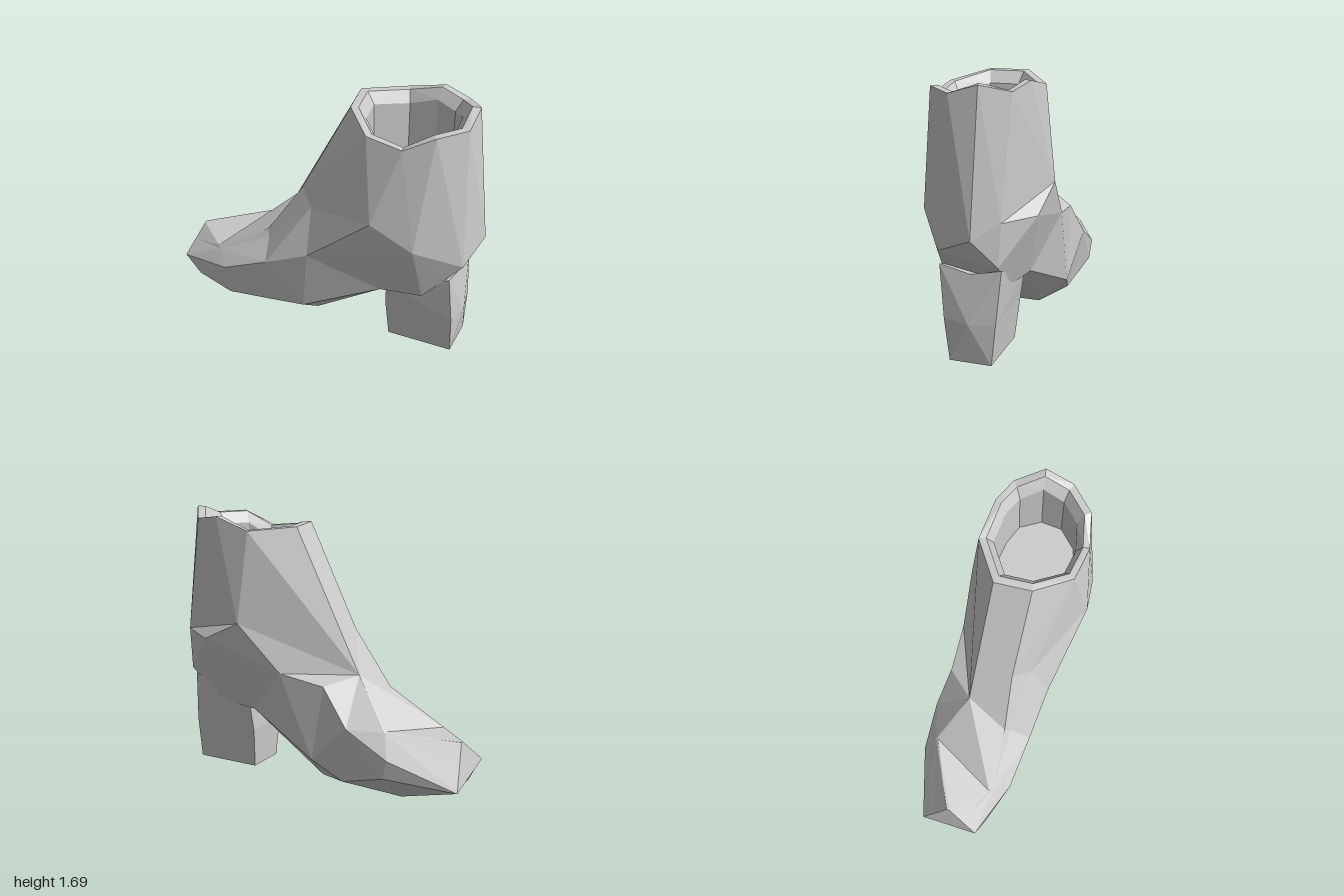
import * as THREE from 'three';

const material = new THREE.MeshStandardMaterial({ color: 0xcccccc, flatShading: true });

// Skin a list of closed rings and cap both ends. Points shared by two rings
// collapse quads to triangles; every other quad is split so that it bulges out.
function loft(rings, name) {
  const n = rings[0].length, positions = [];
  const plane = new THREE.Plane();
  const addFace = (p, q, r) => {
    if (new THREE.Triangle(p, q, r).getArea() > 1e-6) {
      for (const v of [p, q, r]) positions.push(v.x, v.y, v.z);
    }
  };
  const pts = rings.map((ring) => ring.map((p) => new THREE.Vector3(...p)));
  for (let i = 0; i < pts.length - 1; i++) {
    for (let j = 0; j < n; j++) {
      const k = (j + 1) % n;
      const [a, b, c, d] = [pts[i][j], pts[i][k], pts[i + 1][k], pts[i + 1][j]];
      if (plane.setFromCoplanarPoints(a, b, c).distanceToPoint(d) <= 0) {
        addFace(a, b, c);
        addFace(a, c, d);
      } else {
        addFace(a, b, d);
        addFace(b, c, d);
      }
    }
  }
  const first = pts[0], last = pts[pts.length - 1];
  for (let j = 1; j < n - 1; j++) {
    addFace(first[0], first[j + 1], first[j]);
    addFace(last[0], last[j], last[j + 1]);
  }
  const geometry = new THREE.BufferGeometry();
  geometry.setAttribute('position', new THREE.Float32BufferAttribute(positions, 3));
  geometry.computeVertexNormals();
  const mesh = new THREE.Mesh(geometry, material);
  mesh.name = name;
  return mesh;
}

// Ring of five points [x, y, half width] per side, from instep to sole or heel.
// Points given in "changes" replace the mirrored ones on the right side.
function bootRing(offset, left, changes = {}) {
  const right = left.map((p, i) => changes[i] ?? p);
  return [
    ...left.map(([x, y, w]) => [x, y, offset + w]),
    ...right.map(([x, y, w]) => [x, y, offset - w]).reverse(),
  ];
}

function createUpper() {
  // Toe: slanted triangular tip with the chin tucked under it
  const tip = [[-0.95, 0.39, 0.01], [-0.975, 0.31, 0.105], [-1, 0.23, 0.2]];
  const tipRight = { 1: [-0.975, 0.255, 0.09], 2: [-1, 0.125, 0.17] };
  const toe = bootRing(-0.03, [...tip, [-1, 0.2, 0.1], [-1, 0.182, 0.03]],
    { ...tipRight, 3: [-1, 0.145, 0.1], 4: [-1, 0.165, 0.03] });
  const chin = bootRing(-0.03, [...tip, [-0.88, 0.13, 0.225], [-0.96, 0.12, 0.09]],
    { ...tipRight, 3: [-0.97, 0.115, 0.16] });

  // Vamp: upright sections
  const ball = bootRing(-0.03,
    [[-0.74, 0.39, 0.2], [-0.72, 0.38, 0.22], [-0.64, 0.31, 0.31], [-0.62, 0.1, 0.285], [-0.6, 0.005, 0.1]],
    { 0: [-0.55, 0.455, 0.23], 1: [-0.55, 0.45, 0.24], 2: [-0.6, 0.3, 0.31], 3: [-0.57, 0.18, 0.3] });
  const arch = bootRing(-0.03,
    [[-0.38, 0.61, 0.17], [-0.36, 0.57, 0.2], [-0.33, 0.46, 0.325], [-0.32, 0.135, 0.285], [-0.3, 0.03, 0.12]],
    { 0: [-0.3, 0.74, 0.1], 1: [-0.3, 0.74, 0.1], 3: [-0.26, 0.085, 0.24] });

  // Instep, shank and heel seat: sections fanning around the ankle
  const front = [[-0.15, 0.97, 0.1], [-0.05, 0.9, 0.19]];
  const frontRight = { 0: [-0.3, 0.74, 0.13], 1: [-0.3, 0.74, 0.13] };
  const waist = [-0.03, 0.61, 0.305];
  const waistRight = { ...frontRight, 2: [-0.15, 0.69, 0.315] };
  const ankle = [0.42, 1.03, 0.385];
  const counter = [0.68, 0.87, 0.34];
  const counterRight = { ...frontRight, 3: [0.68, 0.9, 0.365] };
  const instep = bootRing(0, [...front, waist, [-0.08, 0.17, 0.26], [-0.05, 0.05, 0.1]],
    { ...waistRight, 3: [-0.07, 0.21, 0.32], 4: [-0.05, 0.05, 0.14] });
  const shank = bootRing(0, [...front, waist, [0.43, 0.43, 0.21], [0.45, 0.41, 0.13]],
    { ...waistRight, 2: [0.14, 0.74, 0.345], 3: [0.4, 0.44, 0.23] });
  const seat = bootRing(0, [...front, ankle, counter, [0.7, 0.45, 0.19]], counterRight);
  const tuck = bootRing(0, [...front, ankle, counter, [0.83, 0.595, 0.17]],
    { ...counterRight, 4: [0.9, 0.64, 0.2] });
  const back = bootRing(0, [...front, ankle, counter, [0.94, 0.72, 0.15]],
    { ...frontRight, 3: [0.9, 0.91, 0.22], 4: [1, 0.82, 0.07] });

  // Wavy collar with a flat rim, a bevel, then the inner wall and insole floor
  const rim = bootRing(0,
    [[0.17, 1.62, 0.1], [0.35, 1.57, 0.295], [0.58, 1.54, 0.31], [0.76, 1.63, 0.25], [0.9, 1.63, 0.09]],
    { 0: [0.14, 1.62, 0.13], 1: [0.38, 1.6, 0.315], 2: [0.62, 1.67, 0.3], 3: [0.79, 1.64, 0.25], 4: [0.905, 1.69, 0.09] });
  const inset = (scale, level) => rim.map(([x, y, z]) =>
    [0.52 + (x - 0.52) * scale, level(y), z * scale]);

  return loft([
    toe, chin, ball, arch, instep, shank, seat, tuck, back, rim,
    inset(0.87, (y) => y),
    inset(0.74, (y) => y - 0.07),
    inset(0.73, () => 1.2),
  ], 'bootUpper');
}

function createHeel() {
  // Tapered block with a bulge in the middle of its back:
  // [front x, front y, back x, back y, half width, middle x, middle y]
  const levels = [
    [0.46, 0.015, 0.88, 0.015, 0.13, 0.88, 0.015],
    [0.445, 0.27, 0.885, 0.28, 0.16, 0.915, 0.27],
    [0.455, 0.46, 0.865, 0.61, 0.19, 0.87, 0.57],
  ];
  const mid = -0.018;
  return loft(levels.map(([fx, fy, bx, by, w, mx, my]) => [
    [fx, fy, mid - w], [fx, fy, mid + w], [bx, by, mid + w], [mx, my, mid], [bx, by, mid - w],
  ]), 'heelBlock');
}

export function createModel() {
  const boot = new THREE.Group();
  boot.name = 'ankleBoot';
  boot.add(createUpper(), createHeel());
  return boot;
}
